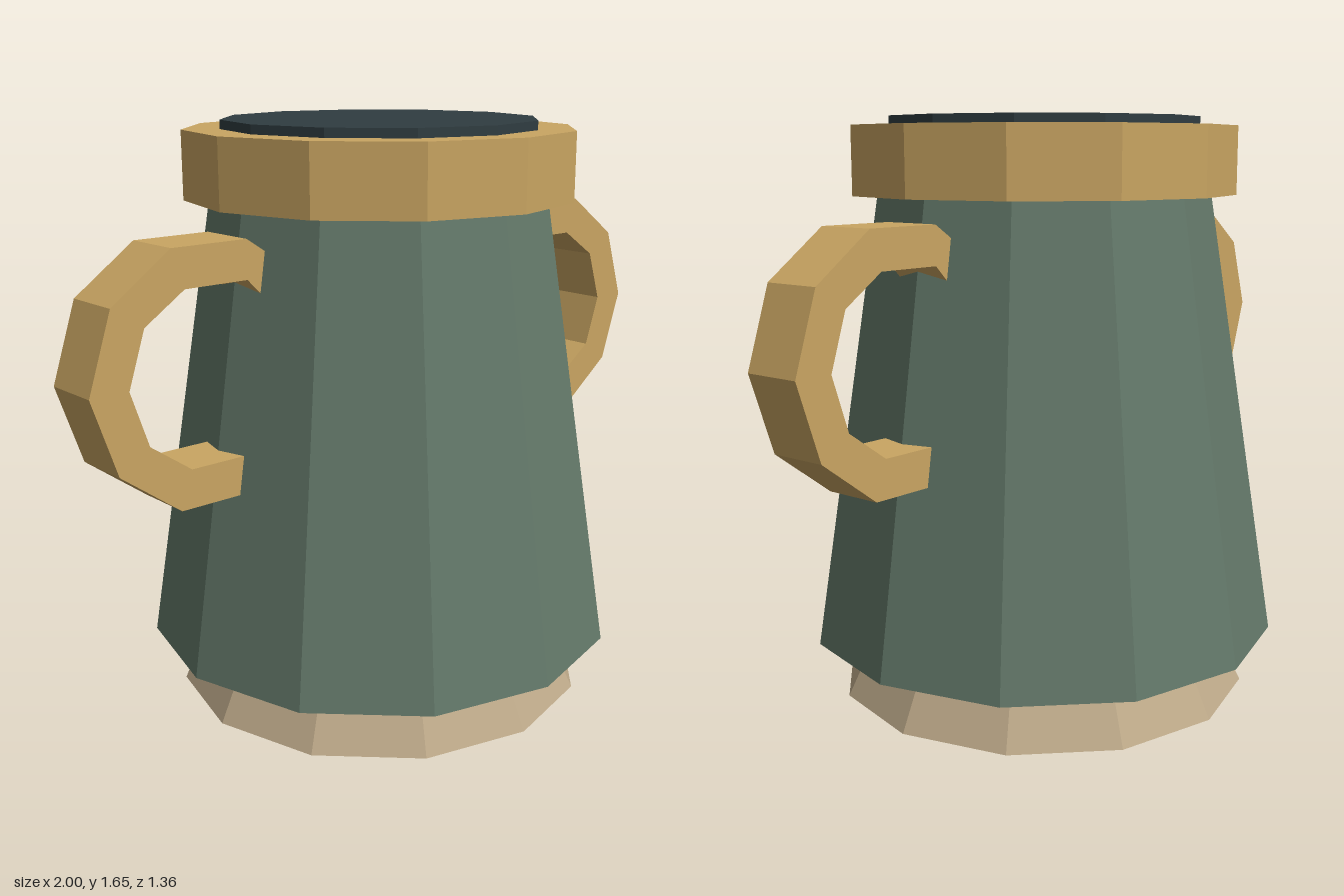
import * as THREE from 'three';

const SIDES = 12;
const paint = (color) => new THREE.MeshStandardMaterial({ color, flatShading: true });

export function createModel() {
  const group = new THREE.Group();
  group.name = 'tankard';
  const gold = paint(0xc9a562);

  // Twelve-sided tapered section between two heights
  const section = (name, bottomRadius, topRadius, y0, y1, material) => {
    const geometry = new THREE.CylinderGeometry(topRadius, bottomRadius, y1 - y0, SIDES);
    const mesh = new THREE.Mesh(geometry.translate(0, (y0 + y1) / 2, 0), material);
    mesh.name = name;
    group.add(mesh);
  };

  section('base', 0.6, 0.515, 0, 0.175, paint(0xbda989));
  section('body', 0.68, 0.48, 0.17, 1.44, paint(0x64796a));
  section('rim', 0.55, 0.55, 1.435, 1.625, gold);
  section('lid', 0.445, 0.445, 1.6, 1.65, paint(0x303d41));

  // Faceted C-shaped handle: outer edge downwards, inner edge back up
  const outline = [
    [0.43, 1.31], [0.53, 1.375], [0.755, 1.375], [0.93, 1.25], [1, 1.04],
    [0.93, 0.83], [0.755, 0.7], [0.5, 0.7],
    [0.5, 0.805], [0.72, 0.805], [0.84, 0.89], [0.89, 1.04],
    [0.84, 1.19], [0.72, 1.27], [0.53, 1.27], [0.45, 1.19],
  ].map(([x, y]) => new THREE.Vector2(x, y));
  const width = 0.17;
  const handleGeometry = new THREE.ExtrudeGeometry(new THREE.Shape(outline), {
    depth: width, bevelEnabled: false,
  }).translate(0, 0, -width / 2);

  // One handle on each side
  for (const [name, turn] of [['leftHandle', 0], ['rightHandle', Math.PI]]) {
    const handle = new THREE.Mesh(handleGeometry, gold);
    handle.name = name;
    handle.rotation.y = turn;
    group.add(handle);
  }
  return group;
}
